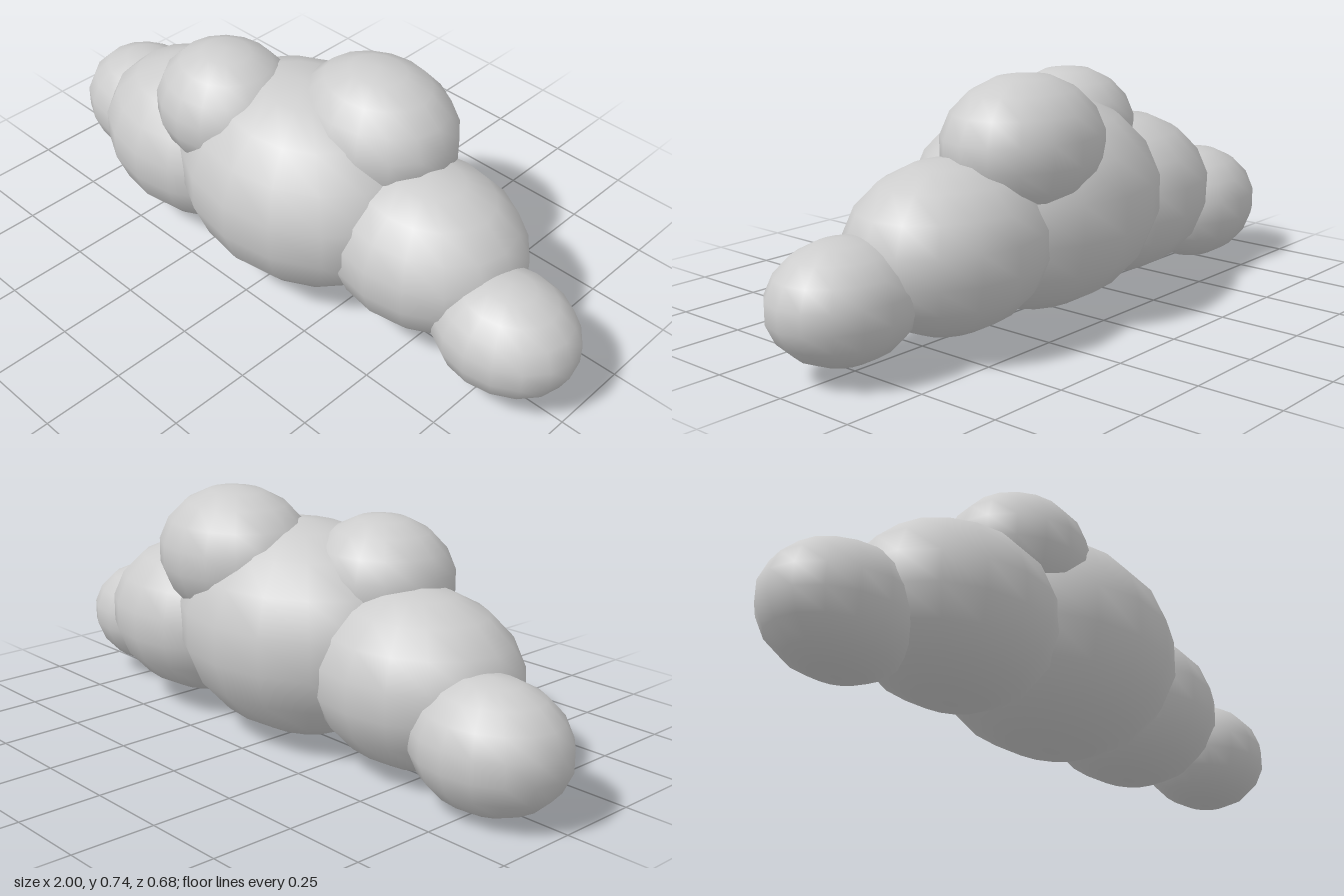
import * as THREE from 'three';

// Each puff: name, centre (x, y, z), radii (x, y, z)
const PUFFS = [
  ['centrePuff', [0.01, 0.335, 0], [0.425, 0.325, 0.343]],
  ['leftMiddlePuff', [0.44, 0.29, -0.05], [0.322, 0.245, 0.265]],
  ['leftEndPuff', [0.78, 0.205, 0], [0.223, 0.17, 0.187]],
  ['rightMiddlePuff', [-0.43, 0.275, 0.03], [0.337, 0.26, 0.275]],
  ['rightEndPuff', [-0.765, 0.19, -0.038], [0.239, 0.187, 0.195]],
  ['frontTopPuff', [-0.235, 0.51, 0.085], [0.225, 0.19, 0.205]],
  ['backTopPuff', [0.19, 0.54, -0.105], [0.263, 0.205, 0.217]],
];

export function createModel() {
  const group = new THREE.Group();
  group.name = 'cloud';
  const material = new THREE.MeshStandardMaterial({ color: 0xcccccc });
  material.name = 'cloudGrey';

  // Overlapping smooth-shaded ellipsoids
  for (const [name, centre, radii] of PUFFS) {
    const geometry = new THREE.SphereGeometry(1, 16, 9);
    geometry.scale(...radii);
    const puff = new THREE.Mesh(geometry, material);
    puff.name = name;
    puff.position.set(...centre);
    group.add(puff);
  }
  return group;
}
